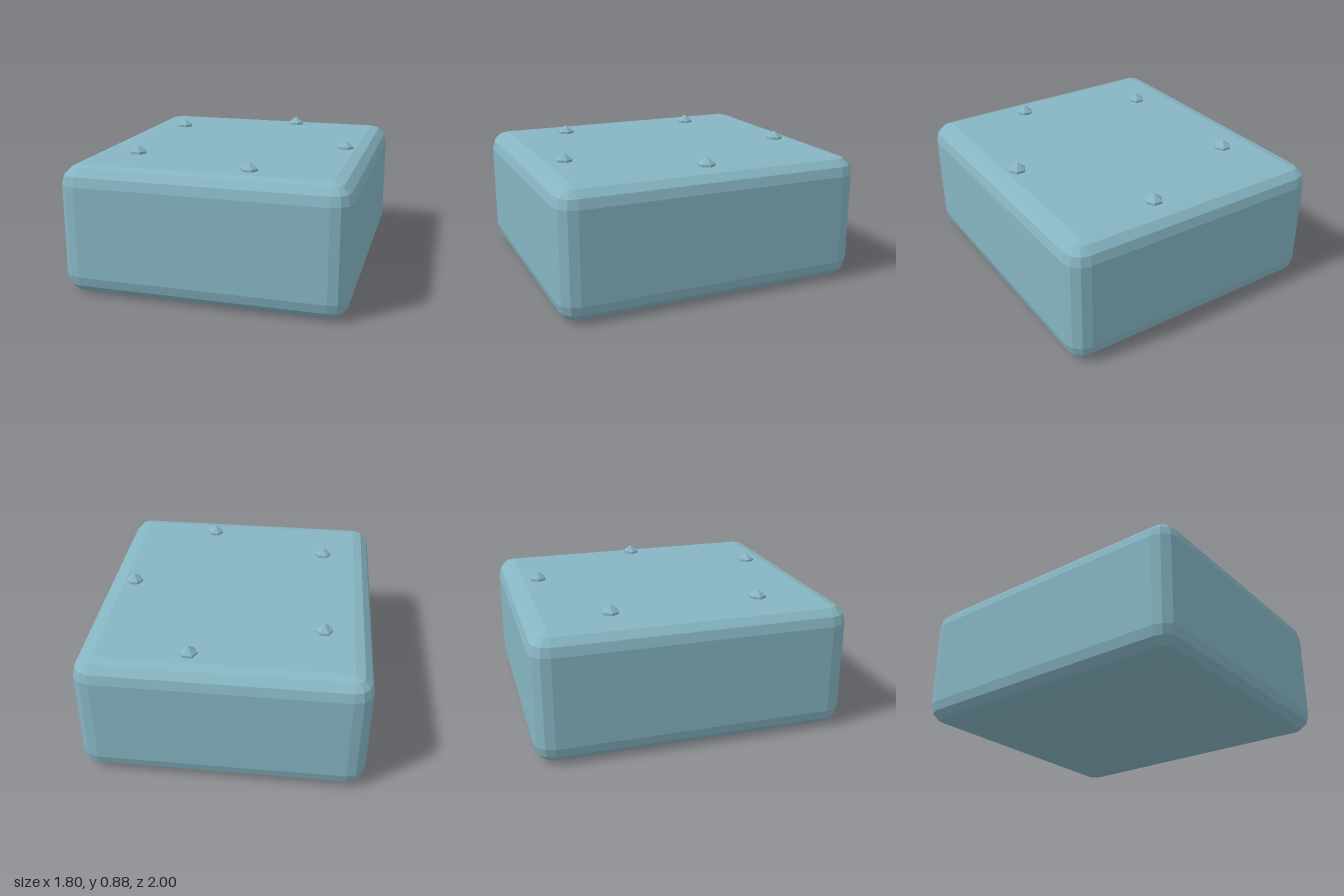
import * as THREE from 'three';
import { ConvexGeometry } from 'three/addons/geometries/ConvexGeometry.js';

const WIDTH = 1.8, HEIGHT = 0.82, DEPTH = 2, RADIUS = 0.12, STEPS = 3;

// Block with faceted round edges: the hull of one sphere octant per corner
function roundedBlock() {
  const points = [];
  const inner = new THREE.Vector3(WIDTH / 2 - RADIUS, HEIGHT / 2 - RADIUS, DEPTH / 2 - RADIUS);
  for (const sx of [-1, 1]) for (const sy of [-1, 1]) for (const sz of [-1, 1]) {
    for (let i = 0; i <= STEPS; i++) {
      const count = i === 0 ? 0 : STEPS; // single point at the pole
      for (let j = 0; j <= count; j++) {
        const p = new THREE.Vector3().setFromSphericalCoords(
          RADIUS, (i / STEPS) * Math.PI / 2, (j / STEPS) * Math.PI / 2);
        points.push(p.add(inner).multiply(new THREE.Vector3(sx, sy, sz)));
      }
    }
  }
  return new ConvexGeometry(points);
}

// Six-sided stud with a short wall and a pointed cap
function studGeometry() {
  const profile = [[0.055, -0.02], [0.055, 0.015], [0, 0.057]]
    .map(([x, y]) => new THREE.Vector2(x, y));
  return new THREE.LatheGeometry(profile, 6, Math.PI / 2);
}

export function createModel() {
  const group = new THREE.Group();
  const material = new THREE.MeshStandardMaterial({ color: 0x86b5c2, flatShading: true });

  const block = new THREE.Mesh(roundedBlock(), material);
  block.name = 'block';
  block.position.y = HEIGHT / 2;
  group.add(block);

  // Five studs in a ring on the top face
  const stud = studGeometry();
  const spots = [[0.71, 0], [0.255, 0.765], [-0.56, 0.505], [-0.59, -0.465], [0.21, -0.785]];
  spots.forEach(([x, z], i) => {
    const mesh = new THREE.Mesh(stud, material);
    mesh.name = `stud${i + 1}`;
    mesh.position.set(x, HEIGHT, z);
    group.add(mesh);
  });
  return group;
}
